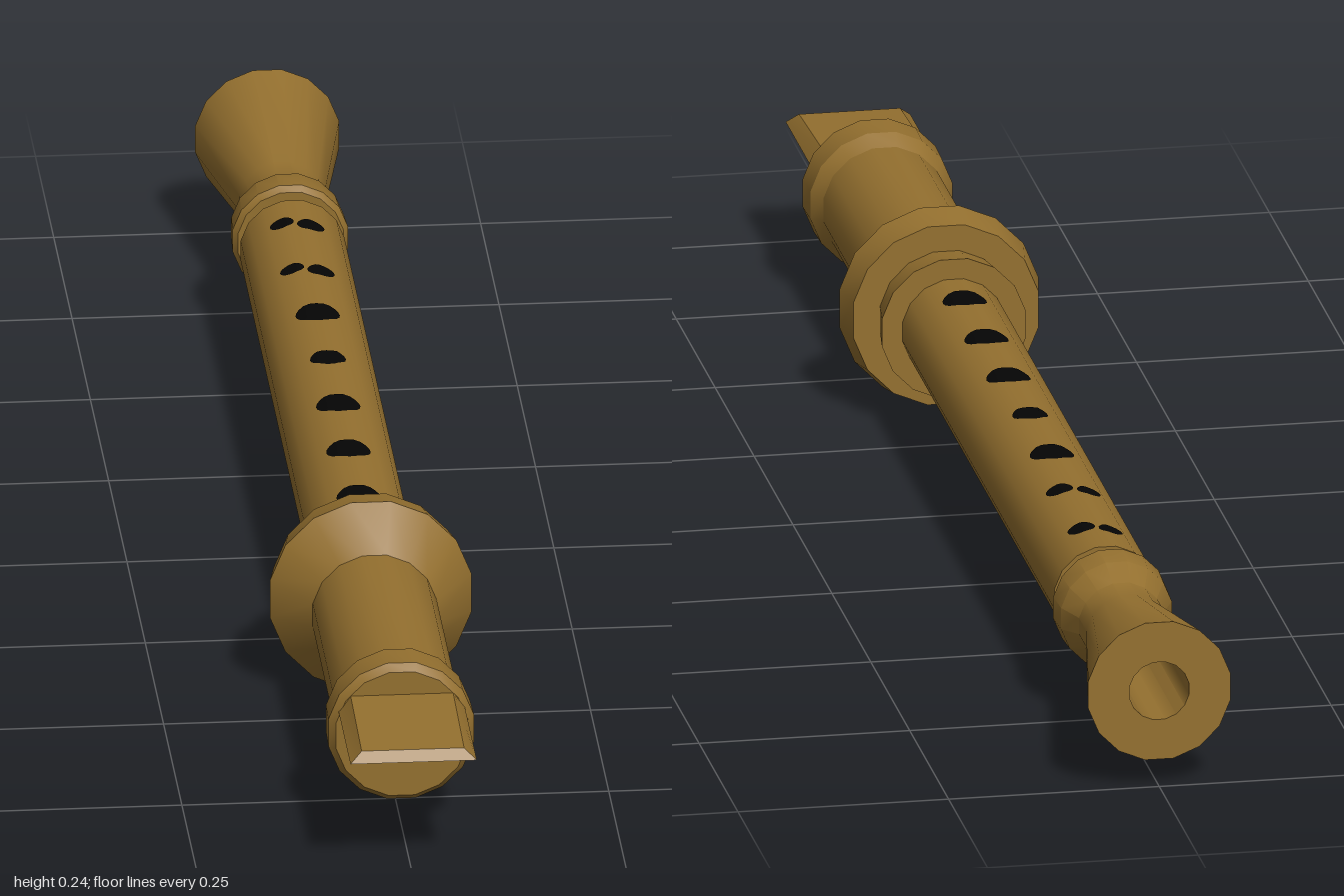
import * as THREE from 'three';
import { toCreasedNormals } from 'three/addons/utils/BufferGeometryUtils.js';

const SIDES = 16;
const AXIS_Y = 0.1185;
const FLAT = Math.cos(Math.PI / SIDES); // apothem / circumradius
const TUBE_R = 0.062;

// Height of the faceted tube's upper surface at x
function tubeTop(x) {
  let y = Infinity;
  for (let k = -4; k <= 4; k++) {
    const a = (k * 2 * Math.PI) / SIDES;
    if (Math.cos(a) > 0.1) y = Math.min(y, (TUBE_R * FLAT - x * Math.sin(a)) / Math.cos(a));
  }
  return AXIS_Y + y;
}

// Turned part along z; profile is [radius, z] running front-wards on the outside
function turned(name, profile, material) {
  const pts = profile.map(([r, z]) => new THREE.Vector2(r, z));
  const lathe = new THREE.LatheGeometry(pts, SIDES, Math.PI / SIDES);
  lathe.rotateX(Math.PI / 2);
  const mesh = new THREE.Mesh(toCreasedNormals(lathe, 0.5), material);
  mesh.position.y = AXIS_Y;
  mesh.name = name;
  return mesh;
}

// Dark finger hole laid over the tube's surface
function fingerHole(x, z, radius, material) {
  const geo = new THREE.RingGeometry(0, radius, 20, 6);
  geo.rotateX(-Math.PI / 2);
  const p = geo.attributes.position;
  for (let i = 0; i < p.count; i++) {
    const px = p.getX(i) + x;
    p.setXYZ(i, px, tubeTop(px) + 0.001, p.getZ(i) + z);
  }
  geo.computeVertexNormals();
  const mesh = new THREE.Mesh(geo, material);
  mesh.name = 'fingerHole';
  return mesh;
}

export function createModel() {
  const group = new THREE.Group();
  group.name = 'recorder';
  const wood = new THREE.MeshStandardMaterial({ color: 0x94702f });
  const dark = new THREE.MeshStandardMaterial({ color: 0x050505 });

  // Flared foot with open bore, ring and groove
  group.add(turned('footJoint', [
    [0, 0.3], [0.036, 0.3], [0.036, -1], [0.086, -1], [0.051, -0.8], [0.051, -0.755],
    [0.067, -0.725], [0.069, -0.685], [0.063, -0.677], [0.045, -0.677], [0.045, -0.655],
  ], wood));

  // Long middle tube
  group.add(turned('middleTube', [
    [0.045, -0.655], [TUBE_R, -0.655], [TUBE_R, 0.33],
  ], wood));

  // Head with stepped collar and mouth ring
  group.add(turned('headJoint', [
    [0.05, 0.32], [0.087, 0.32], [0.08, 0.37], [0.112, 0.37], [0.1205, 0.415], [0.074, 0.468],
    [0.074, 0.765], [0.086, 0.785], [0.087, 0.83], [0.079, 0.84], [0, 0.84],
  ], wood));

  // Beak: thin wedge with bevelled sides
  const beak = new THREE.BoxGeometry(2, 2, 2);
  const p = beak.attributes.position;
  for (let i = 0; i < p.count; i++) {
    const top = p.getY(i) > 0, tip = p.getZ(i) > 0;
    const x = Math.sign(p.getX(i)) * (top ? 0.06 : 0.074);
    const y = top ? (tip ? 0.16 : 0.169) : 0.148;
    p.setXYZ(i, x, y, tip ? (top ? 0.99 : 1) : 0.82);
  }
  beak.computeVertexNormals();
  const beakMesh = new THREE.Mesh(beak, wood);
  beakMesh.name = 'beak';
  group.add(beakMesh);

  // Single finger holes, then the two double ones
  const holes = new THREE.Group();
  holes.name = 'fingerHoles';
  [0.25, 0.11, -0.03, -0.17, -0.31].forEach((z, i) =>
    holes.add(fingerHole(0, z, i === 3 ? 0.021 : 0.026, dark)));
  for (const z of [-0.445, -0.585]) {
    holes.add(fingerHole(-0.018, z - 0.005, 0.014, dark));
    holes.add(fingerHole(0.015, z + 0.005, 0.016, dark));
  }
  group.add(holes);
  return group;
}
